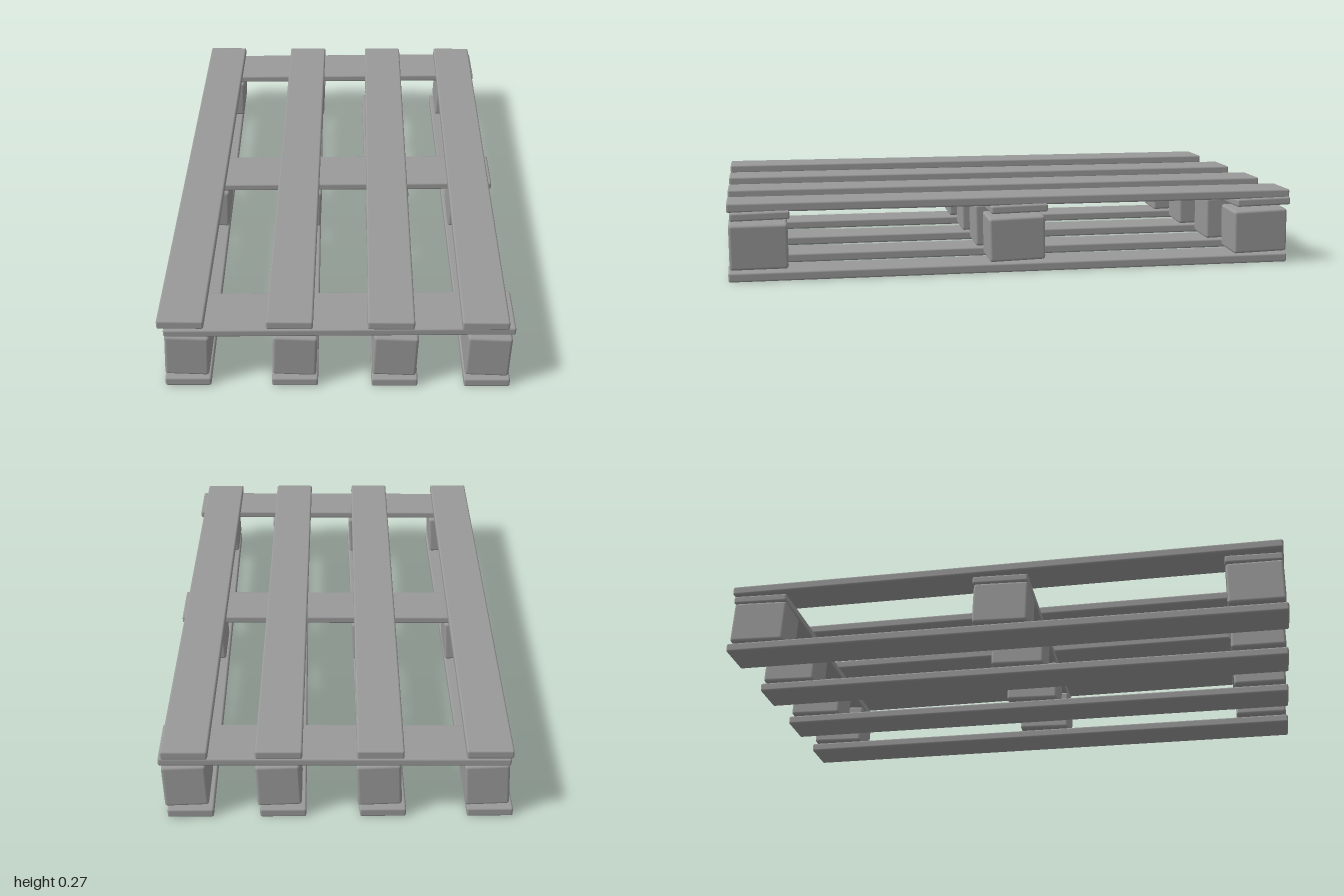
import * as THREE from 'three';
import { RoundedBoxGeometry } from 'three/addons/geometries/RoundedBoxGeometry.js';

export function createModel() {
  const group = new THREE.Group();
  group.name = 'pallet';
  const wood = new THREE.MeshStandardMaterial({ color: 0x999999 });
  wood.name = 'grey wood';

  const longBoard = new RoundedBoxGeometry(0.153, 0.032, 1.99, 2, 0.007);
  const crossBoard = new RoundedBoxGeometry(1.146, 0.028, 0.2, 2, 0.007);
  const block = new RoundedBoxGeometry(0.146, 0.156, 0.198, 2, 0.01);

  function add(name, geometry, position, rotation = [0, 0, 0]) {
    const mesh = new THREE.Mesh(geometry, wood);
    mesh.name = name;
    mesh.position.set(...position);
    mesh.rotation.set(...rotation);
    group.add(mesh);
  }

  const columns = [-0.502, -0.148, 0.182, 0.488];
  const rows = [-0.893, -0.002, 0.888];

  // Long boards, the deck and the runners skewed opposite ways
  columns.forEach((x, i) => {
    add(`deckBoard${i + 1}`, longBoard, [x, 0.254, 0], [0, -0.0065, 0]);
    add(`runner${i + 1}`, longBoard, [x + 0.002, 0.018, 0], [0, 0.0065, 0]);
  });

  rows.forEach((z, r) => {
    // Slightly sloping cross boards under the deck
    add(`crossBoard${r + 1}`, crossBoard, [0.007, 0.222, z], [0.02, 0.005, 0.009]);

    // Leaning spacer blocks
    columns.forEach((x, i) => {
      add(`block${r + 1}_${i + 1}`, block, [x + 0.009, 0.122, z + 0.003],
        [r === 2 ? 0.005 : 0.03, 0, -0.04]);
    });
  });

  return group;
}
